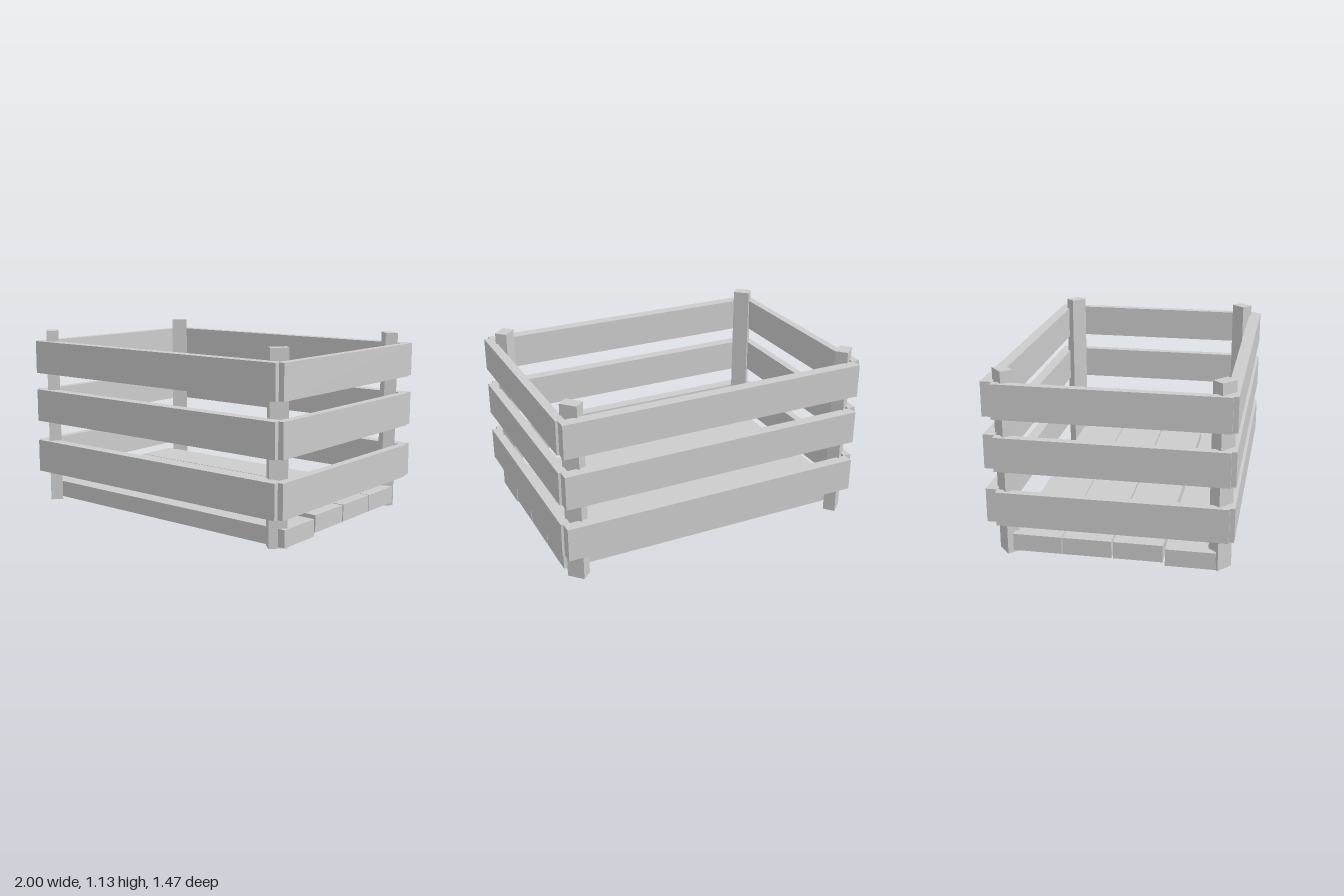
import * as THREE from 'three';

const material = new THREE.MeshStandardMaterial({ color: 0xcccccc, flatShading: true });

// Box given by its [min, max] range on each axis
function board(name, [x0, x1], [y0, y1], [z0, z1]) {
  const mesh = new THREE.Mesh(new THREE.BoxGeometry(x1 - x0, y1 - y0, z1 - z0), material);
  mesh.position.set((x0 + x1) / 2, (y0 + y1) / 2, (z0 + z1) / 2);
  mesh.name = name;
  return mesh;
}

export function createModel() {
  const crate = new THREE.Group();
  crate.name = 'crate';

  // Three rows of wall slats
  [0.19, 0.53, 0.85].forEach((y, i) => {
    const row = new THREE.Group();
    row.name = `slatRow${i + 1}`;
    const height = [y, y + 0.21];
    row.add(
      board('frontSlat', [-0.98, 0.965], height, [0.655, 0.73]),
      board('backSlat', [-0.955, 0.985], height, [-0.735, -0.665]),
      board('rightSlat', [-1, -0.95], height, [-0.665, 0.7]),
      board('leftSlat', [0.945, 1], height, [-0.665, 0.7])
    );
    crate.add(row);
  });

  // Corner posts, set diagonally: name, x, z, turn in degrees
  [
    ['frontRightPost', -0.911, 0.646, -41],
    ['frontLeftPost', 0.889, 0.601, 47],
    ['backRightPost', -0.915, -0.613, 42],
    ['backLeftPost', 0.887, -0.615, -46],
  ].forEach(([name, x, z, turn]) => {
    const post = board(name, [-0.054, 0.054], [0, 1.13], [-0.039, 0.039]);
    post.position.x = x;
    post.position.z = z;
    post.rotation.y = THREE.MathUtils.degToRad(turn);
    crate.add(post);
  });

  // Floor planks, the front one sitting a little lower
  [[0.335, 0.627, 0.01], [0.03, 0.322, 0.03], [-0.272, 0.02, 0.03], [-0.57, -0.278, 0.03]]
    .forEach(([z0, z1, y], i) => {
      crate.add(board(`floorPlank${i + 1}`, [-0.985, 0.963], [y, y + 0.105], [z0, z1]));
    });

  return crate;
}
